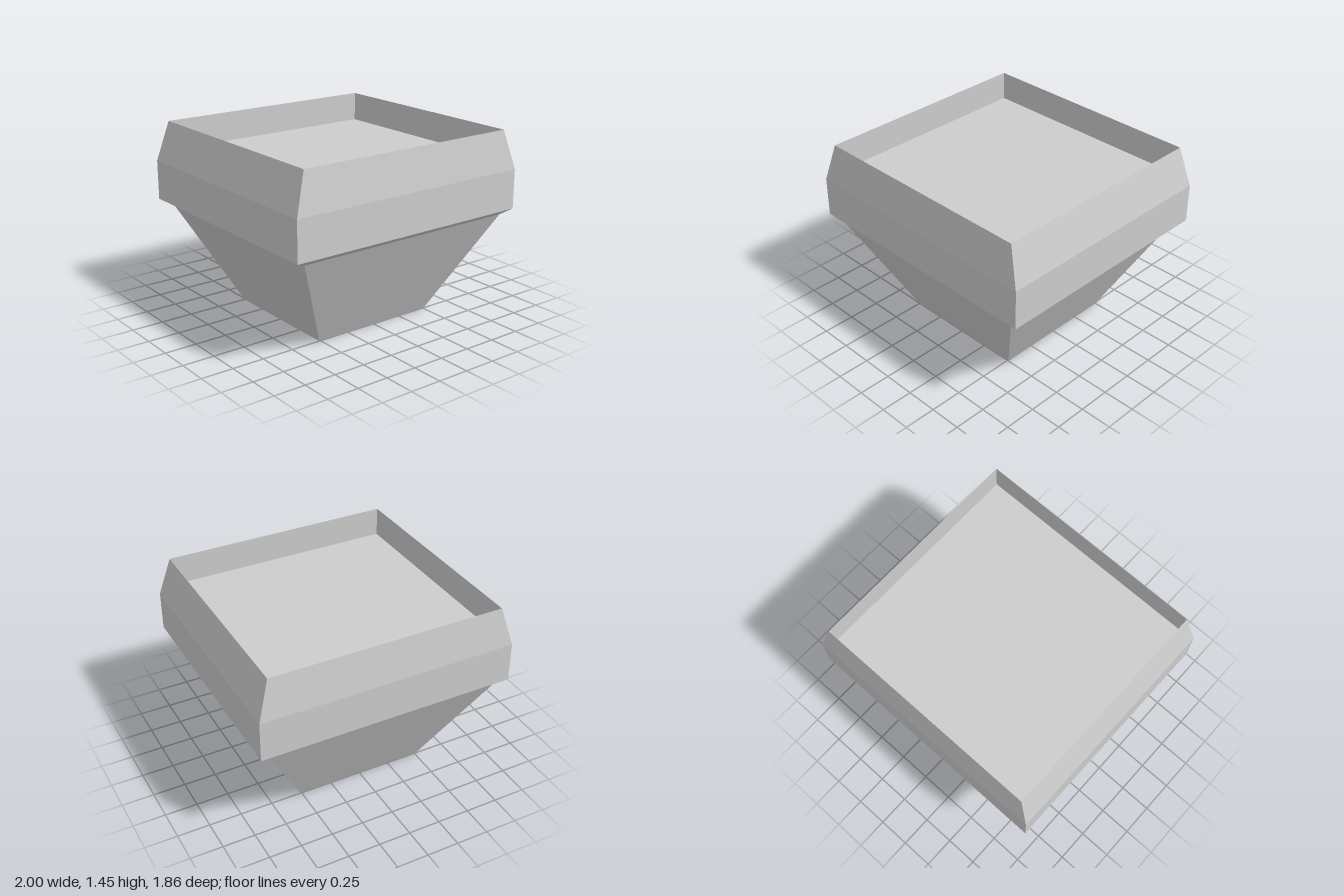
import * as THREE from 'three';

const CORNERS = [[1, 1], [1, -1], [-1, -1], [-1, 1]];

// Skin a stack of rectangles [halfX, y, halfZ] with four flat sides per step.
// Sides face outward when the stack rises and inward when it descends.
function rectLoft(rings, capLast = false, capFirst = false) {
  const pos = [];
  const at = ([hx, y, hz], i) => [CORNERS[i % 4][0] * hx, y, CORNERS[i % 4][1] * hz];
  const quad = (a, b, c, d) => pos.push(...a, ...b, ...c, ...a, ...c, ...d);
  for (let r = 0; r < rings.length - 1; r++) {
    const lo = rings[r], hi = rings[r + 1];
    for (let i = 0; i < 4; i++) quad(at(lo, i), at(lo, i + 1), at(hi, i + 1), at(hi, i));
  }
  const cap = (ring, order) => quad(...order.map(i => at(ring, i)));
  if (capLast) cap(rings[rings.length - 1], [0, 1, 2, 3]);
  if (capFirst) cap(rings[0], [3, 2, 1, 0]);
  const geo = new THREE.BufferGeometry();
  geo.setAttribute('position', new THREE.Float32BufferAttribute(pos, 3));
  geo.computeVertexNormals();
  return geo;
}

export function createModel() {
  const group = new THREE.Group();
  const grey = new THREE.MeshStandardMaterial({ color: 0xcccccc });
  grey.name = 'light grey';

  const add = (name, geo) => {
    const mesh = new THREE.Mesh(geo, grey);
    mesh.name = name;
    group.add(mesh);
  };

  // Tapered body with a closed base
  add('taperedBody', rectLoft([[0.51, 0, 0.5], [0.91, 0.79, 0.88]], false, true));

  // Overhanging collar: bevelled underside, upright band, inward slope
  add('collar', rectLoft([
    [0.91, 0.79, 0.88], [1, 0.83, 0.928], [1, 1.138, 0.928], [0.91, 1.445, 0.88],
  ]));

  // Recess: upright inner walls down to a flat floor
  add('recess', rectLoft([[0.91, 1.445, 0.88], [0.91, 1.214, 0.88]], true));

  return group;
}
